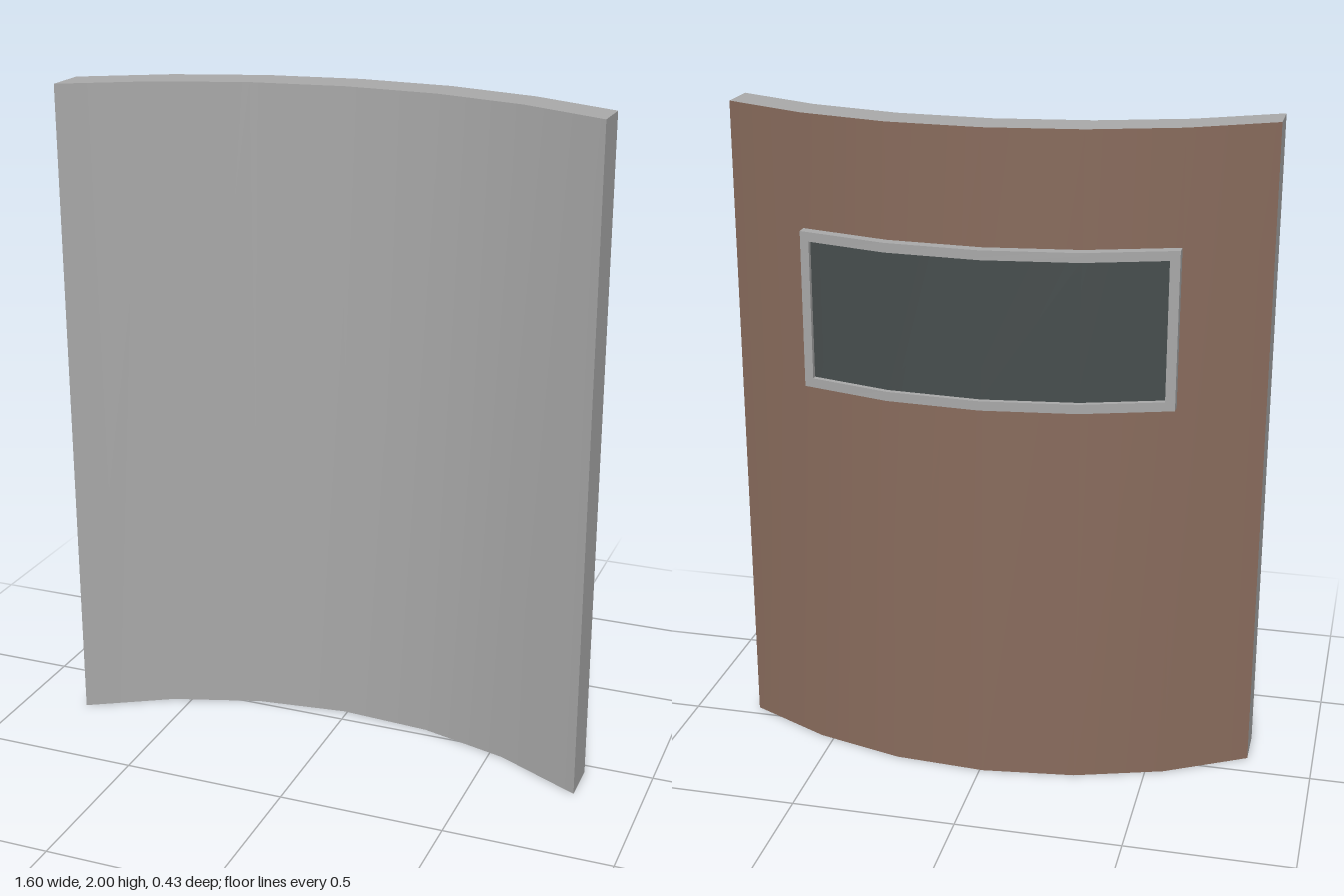
import * as THREE from 'three';

const mat = (name, color) => new THREE.MeshStandardMaterial({ name, color });

// Back edge of the bent panel, seen from above: [x, z]
const curve = [[-0.8, 0.08], [-0.555, -0.06], [-0.29, -0.147], [-0.01, -0.182],
  [0.27, -0.163], [0.542, -0.088], [0.8, 0.04]];

// Depth of the back surface at x
function depthAt(x) {
  let i = 0;
  while (i < curve.length - 2 && x > curve[i + 1][0]) i++;
  const [a, b] = [curve[i], curve[i + 1]];
  return THREE.MathUtils.lerp(a[1], b[1], (x - a[0]) / (b[0] - a[0]));
}

// Slab following the curve from x0 to x1 and y0 to y1;
// back and front are z offsets from the panel's back surface.
function curvedSlab(name, x0, x1, y0, y1, back, front, faceMat, backMat = faceMat) {
  const inner = curve.map(p => p[0]).filter(x => x > x0 + 1e-4 && x < x1 - 1e-4);
  const xs = [x0, ...inner, x1];
  const edge = (y, dz) => xs.map(x => [x, y, depthAt(x) + dz]);
  const bb = edge(y0, back), bf = edge(y0, front);
  const tb = edge(y1, back), tf = edge(y1, front);
  const n = xs.length - 1;
  const strips = [
    [tb, bb],                           // back
    [bf, tf],                           // front
    [tf, tb],                           // top
    [bb, bf],                           // bottom
    [[bb[0], bf[0]], [tb[0], tf[0]]],   // right end
    [[bf[n], bb[n]], [tf[n], tb[n]]],   // left end
  ];
  const pos = [], index = [];
  const geo = new THREE.BufferGeometry();
  strips.forEach(([a, b], s) => {
    const base = pos.length / 3, start = index.length, m = a.length;
    [...a, ...b].forEach(p => pos.push(...p));
    for (let i = 0; i < m - 1; i++) {
      const p = base + i, q = p + m;
      index.push(p, p + 1, q + 1, p, q + 1, q);
    }
    geo.addGroup(start, index.length - start, s === 0 ? 1 : 0);
  });
  geo.setAttribute('position', new THREE.Float32BufferAttribute(pos, 3));
  geo.setIndex(index);
  geo.computeVertexNormals();
  const mesh = new THREE.Mesh(geo, [faceMat, backMat]);
  mesh.name = name;
  return mesh;
}

export function createModel() {
  const grey = mat('bareGrey', 0xa8a8a8);
  const brown = mat('brownFacing', 0x886b5c);
  const dark = mat('darkGlass', 0x464d4d);
  const model = new THREE.Group();
  model.name = 'curvedShield';

  // Bent panel with a coloured outer face
  model.add(curvedSlab('panel', -0.8, 0.8, 0, 2, 0, 0.132, grey, brown));

  // Viewing slot: raised frame around a recessed pane
  const L = -0.555, R = 0.542, B = 1.195, T = 1.665, w = 0.028, out = -0.035;
  const frame = new THREE.Group();
  frame.name = 'windowFrame';
  frame.add(
    curvedSlab('topRail', L, R, T - w, T, out, 0, grey),
    curvedSlab('bottomRail', L, R, B, B + w, out, 0, grey),
    curvedSlab('rightPost', L, L + w, B + w, T - w, out, 0, grey),
    curvedSlab('leftPost', R - w, R, B + w, T - w, out, 0, grey),
  );
  model.add(frame);
  model.add(curvedSlab('windowPane', L + w, R - w, B + w, T - w, -0.018, -0.01, dark));

  return model;
}
